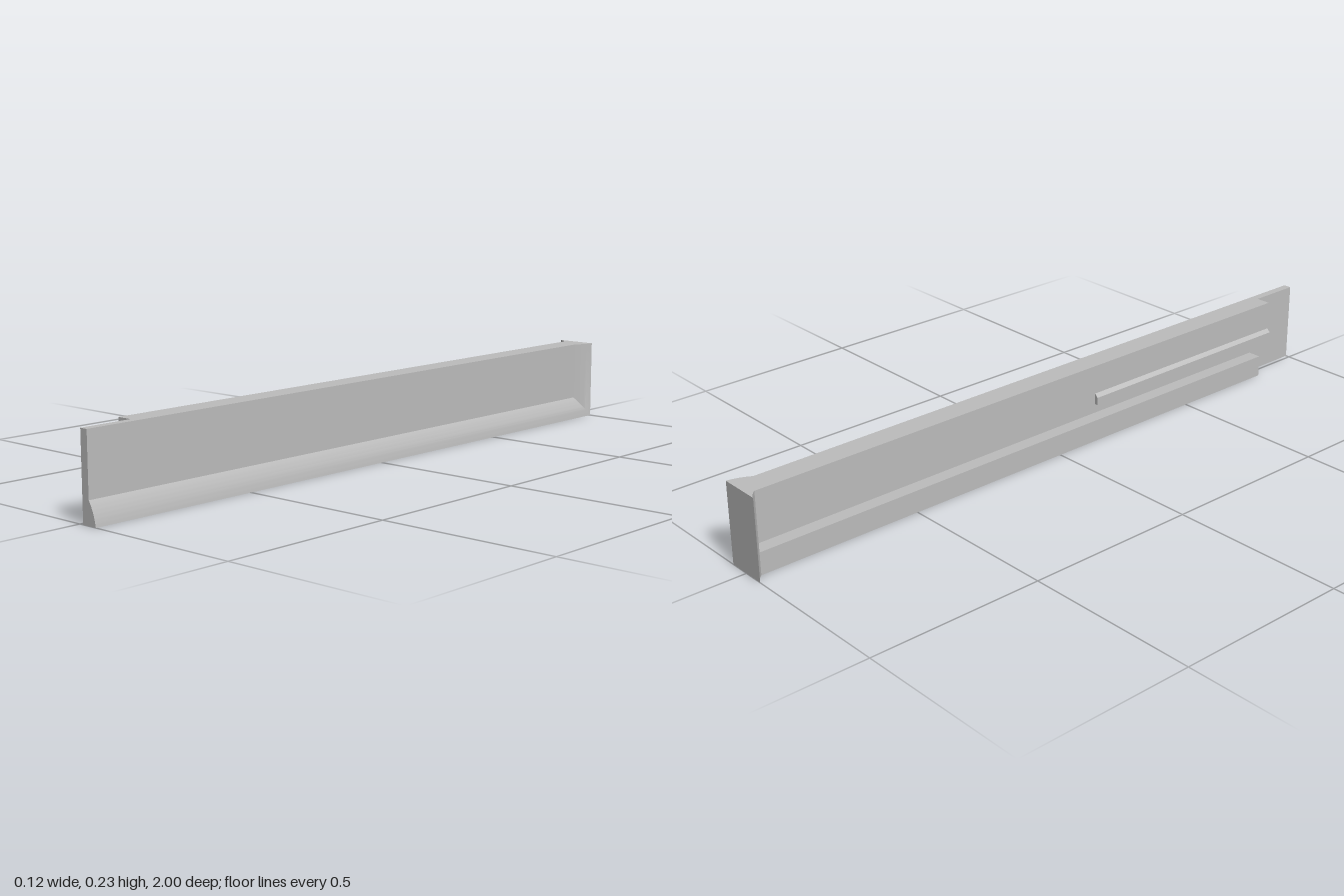
import * as THREE from 'three';
import { toCreasedNormals } from 'three/addons/utils/BufferGeometryUtils.js';

const H = 0.23;      // panel height
const FACE = 0.035;  // plane of the flat panel face

export function createModel() {
  const group = new THREE.Group();
  const grey = new THREE.MeshStandardMaterial({ color: 0xbcbcbc });

  const add = (name, geometry) => {
    const mesh = new THREE.Mesh(geometry, grey);
    mesh.name = name;
    group.add(mesh);
  };
  const extrude = (points, depth) => new THREE.ExtrudeGeometry(
    new THREE.Shape(points.map(([x, y]) => new THREE.Vector2(x, y))),
    { depth, bevelEnabled: false });
  // constant x/y section running along z
  const prism = (name, points, z0, z1) => add(name, extrude(points, z1 - z0).translate(0, 0, z0));
  const rect = (x0, y0, x1, y1) => [[x0, y0], [x1, y0], [x1, y1], [x0, y1]];

  // Panel and the solid rear part of its upper body
  prism('facePanel', rect(0.012, 0, FACE, H), -0.98, 1);
  prism('grooveWall', rect(0.008, 0, 0.012, 0.115), -0.98, 0.85);
  prism('upperBody', rect(-0.032, 0.115, 0.012, H), -0.98, 0.13);

  // Front part of the upper body, with outer ridge and pointed slot underneath
  prism('slottedBody', [
    [-0.042, 0.115], [-0.02, 0.115], [-0.02, 0.125], [-0.006, 0.138], [0.008, 0.125],
    [0.008, 0.115], [0.012, 0.115], [0.012, H], [-0.032, H], [-0.032, 0.147], [-0.042, 0.137],
  ], 0.13, 0.85);

  // Rail below the groove
  prism('lowerRail', rect(-0.032, 0, 0.008, 0.063), -0.98, 0.82);

  // End plate with a small curved flare, drawn in plan and extruded upward
  const flare = new THREE.QuadraticBezierCurve(
    new THREE.Vector2(-0.06, 1), new THREE.Vector2(-0.042, 0.992), new THREE.Vector2(-0.032, 0.978));
  const plan = [[FACE, 0.978], [FACE, 1], ...flare.getPoints(8).map(p => [p.x, p.y])];
  add('endPlate', toCreasedNormals(extrude(plan, H).rotateX(-Math.PI / 2), 0.4));

  // Rounded edge moulding: along the bottom, mitred, then up the back end
  const curve = new THREE.QuadraticBezierCurve(
    new THREE.Vector2(FACE, 0.062), new THREE.Vector2(0.053, 0.035), new THREE.Vector2(0.058, 0));
  const profile = [...curve.getPoints(12), new THREE.Vector2(FACE, 0)];
  const sections = [
    profile.map(p => [p.x, p.y, 1]),
    profile.map(p => [p.x, p.y, p.y - 1]),
    profile.map(p => [p.x, H, p.y - 1]),
  ];
  const verts = [];
  const tri = (a, b, c) => verts.push(...a, ...b, ...c);
  const last = profile.length - 1;
  for (let s = 0; s < 2; s++) {
    const [A, B] = [sections[s], sections[s + 1]];
    for (let i = 0; i < last; i++) {
      tri(A[i], A[i + 1], B[i + 1]);
      tri(A[i], B[i + 1], B[i]);
    }
  }
  for (let i = 0; i < last - 1; i++) {
    const [F, , T] = sections;
    tri(F[last], F[i + 1], F[i]);
    tri(T[last], T[i], T[i + 1]);
  }
  const moulding = new THREE.BufferGeometry();
  moulding.setAttribute('position', new THREE.Float32BufferAttribute(verts, 3));
  add('edgeMoulding', toCreasedNormals(moulding, 0.4));

  return group;
}
